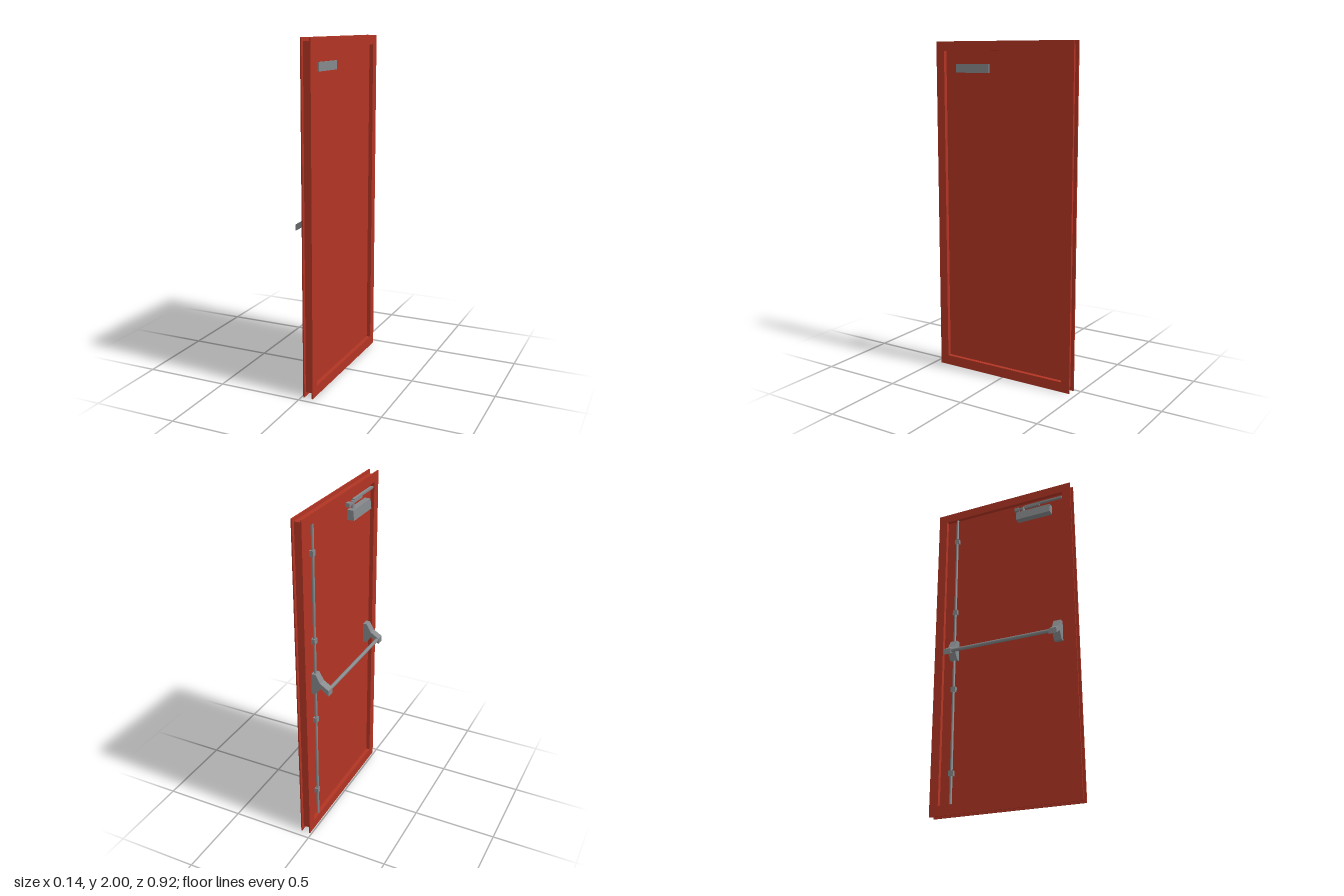
import * as THREE from 'three';

const red = new THREE.MeshStandardMaterial({ color: 0xb23524 });
red.name = 'red paint';
const steel = new THREE.MeshStandardMaterial({ color: 0x86898c });
steel.name = 'grey steel';

export function createModel() {
  const door = new THREE.Group();
  door.name = 'fireDoor';

  const add = (name, geometry, material) => {
    const mesh = new THREE.Mesh(geometry, material);
    mesh.name = name;
    door.add(mesh);
    return mesh;
  };

  // box given by its limits on each axis
  const box = (name, material, [x0, x1], [y0, y1], [z0, z1]) => {
    const mesh = add(name, new THREE.BoxGeometry(x1 - x0, y1 - y0, z1 - z0), material);
    mesh.position.set((x0 + x1) / 2, (y0 + y1) / 2, (z0 + z1) / 2);
    return mesh;
  };

  // profile in x and y, extruded along z
  const profile = (name, material, points, z0, z1) => {
    const shape = new THREE.Shape(points.map(([x, y]) => new THREE.Vector2(x, y)));
    const geometry = new THREE.ExtrudeGeometry(shape, { depth: z1 - z0, bevelEnabled: false });
    add(name, geometry, material).position.z = z0;
  };

  // rectangular ring around the door opening, extruded along x
  const ring = (name, x0, x1, halfWidth, y0, y1) => {
    const rect = (w, a, b, Type) => new Type([[-w, a], [w, a], [w, b], [-w, b]]
      .map(([u, v]) => new THREE.Vector2(u, v)));
    const shape = rect(halfWidth, y0, y1, THREE.Shape);
    shape.holes.push(rect(0.405, 0.06, 1.945, THREE.Path));
    const geometry = new THREE.ExtrudeGeometry(shape, { depth: x1 - x0, bevelEnabled: false });
    geometry.rotateY(Math.PI / 2);
    add(name, geometry, red).position.x = x0;
  };

  // frame: two wide flanges with a narrower core between them
  ring('frameFlange', 0.01, 0.017, 0.46, 0, 2);
  ring('frameCore', 0.017, 0.063, 0.44, 0.025, 1.98);
  ring('frameFlange', 0.063, 0.07, 0.46, 0, 2);

  // recessed door leaf
  box('doorLeaf', red, [0.034, 0.046], [0.06, 1.945], [-0.405, 0.405]);

  // push bar with its two arm brackets
  const bracket = [
    [0.034, 0.94], [0.01, 0.94], [-0.018, 0.985], [-0.073, 0.947],
    [-0.073, 0.982], [-0.02, 1.015], [0.008, 1.065], [0.034, 1.065],
  ];
  profile('barBracket', steel, bracket, -0.352, -0.305);
  profile('barBracket', steel, bracket, 0.325, 0.372);
  const bar = add('pushBar', new THREE.CylinderGeometry(0.011, 0.011, 0.64, 20), steel);
  bar.rotation.x = Math.PI / 2;
  bar.position.set(-0.06, 0.972, 0.01);

  // vertical latch rod and its guides
  const rod = add('latchRod', new THREE.CylinderGeometry(0.008, 0.008, 1.88, 16), steel);
  rod.position.set(0.021, 1.0025, -0.33);
  for (const y of [0.24, 0.753, 1.266, 1.78]) {
    box('rodGuide', steel, [0.012, 0.034], [y - 0.016, y + 0.016], [-0.345, -0.315]);
  }

  // door closer body, spindle, arm and slide rail
  profile('closerBody', steel,
    [[0.034, 1.815], [-0.008, 1.815], [-0.002, 1.873], [0.034, 1.873]], 0.1, 0.328);
  const spindle = add('closerSpindle', new THREE.CylinderGeometry(0.009, 0.009, 0.05, 16), steel);
  spindle.position.set(0.02, 1.89, 0.14);
  box('closerArm', steel, [0.013, 0.027], [1.9, 1.91], [0.09, 0.25]);
  box('armPivot', steel, [0.012, 0.034], [1.895, 1.918], [0.08, 0.11]);
  box('slideRail', steel, [0.014, 0.03], [1.91, 1.922], [0.15, 0.4]);

  // plate on the opposite face
  box('facePlate', steel, [0.046, 0.056], [1.82, 1.87], [0.1, 0.328]);

  return door;
}
